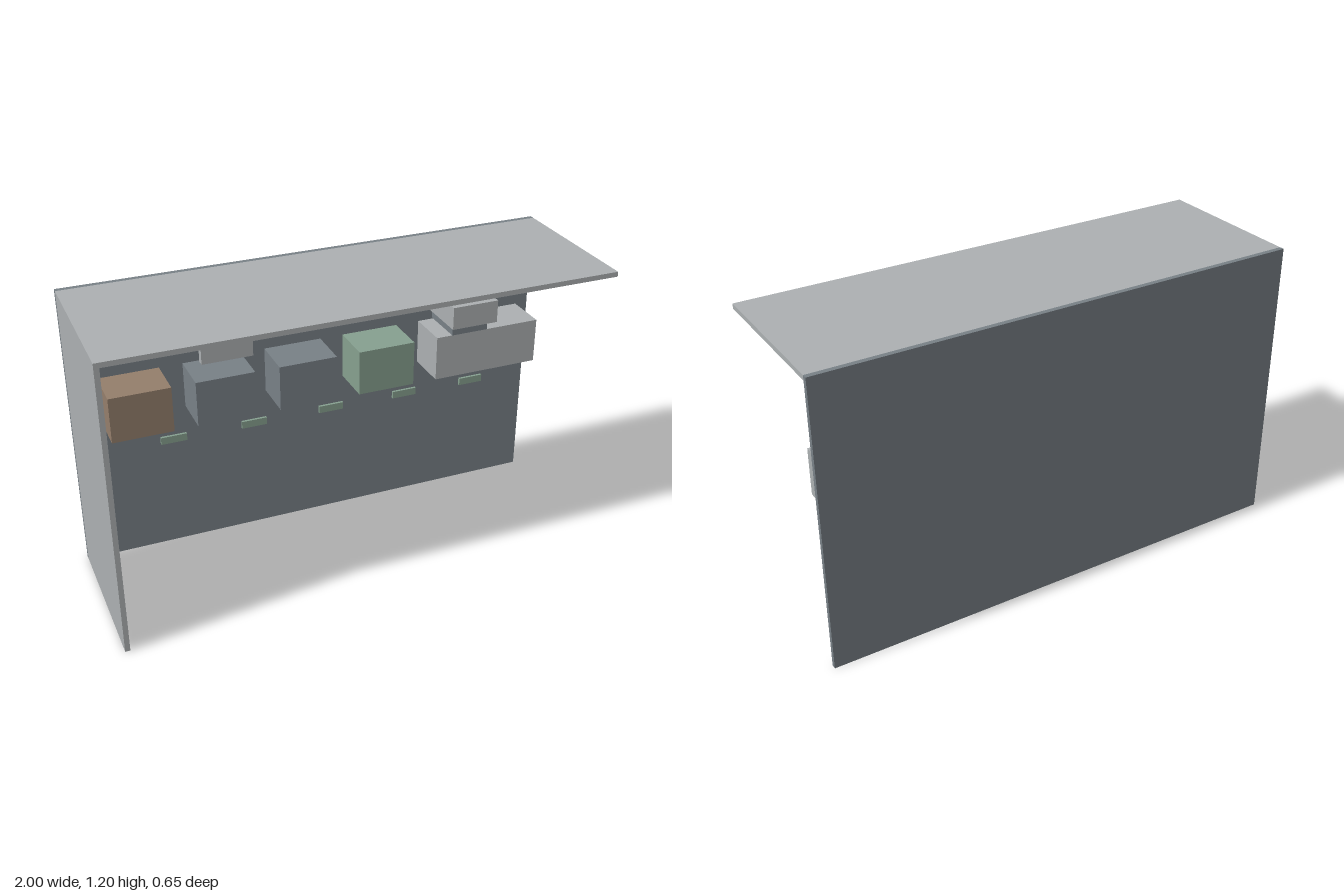
import * as THREE from 'three';

const mat = (name, color) => {
  const m = new THREE.MeshStandardMaterial({ color });
  m.name = name;
  return m;
};

export function createModel() {
  const light = mat('lightGrey', 0xacb0b2);
  const slate = mat('slateGrey', 0x788086);
  const green = mat('sageGreen', 0x86a08f);
  const brown = mat('warmBrown', 0x947e6b);

  const model = new THREE.Group();
  model.name = 'wallDisplay';

  // Box given by its extents on each axis
  const box = (name, material, [x0, x1], [y0, y1], [z0, z1]) => {
    const mesh = new THREE.Mesh(new THREE.BoxGeometry(x1 - x0, y1 - y0, z1 - z0), material);
    mesh.position.set((x0 + x1) / 2, (y0 + y1) / 2, (z0 + z1) / 2);
    mesh.name = name;
    model.add(mesh);
  };

  // Shell: back wall, one side wall and roof
  const wallFace = -0.305;
  box('backWall', slate, [-1, 1], [0, 1.2], [-0.325, wallFace]);
  box('sideWall', light, [-1, -0.98], [0, 1.18], [wallFace, 0.325]);
  box('roof', light, [-1, 1], [1.18, 1.2], [wallFace, 0.325]);

  // Row of wall-mounted units
  const units = [
    ['brownUnit', brown, -0.885, -0.64],
    ['slateUnitOuter', slate, -0.545, -0.305],
    ['slateUnitInner', slate, -0.205, 0.037],
    ['greenUnit', green, 0.135, 0.377],
    ['wideUnit', light, 0.48, 0.945],
  ];
  for (const [name, material, x0, x1] of units) {
    box(name, material, [x0, x1], [0.627, 0.817], [wallFace, -0.125]);
  }

  // Label plates below the units
  [-0.605, -0.263, 0.078, 0.417, 0.737].forEach((x, i) =>
    box(`labelPlate${i + 1}`, green, [x - 0.054, x + 0.054], [0.478, 0.509], [-0.3, -0.289]));

  // Hanging sign panel
  box('signPanel', light, [-0.525, -0.32], [0.905, 1.02], [-0.125, -0.095]);

  // Overhead unit with recessed base
  box('overheadUnit', light, [0.497, 0.695], [0.895, 0.99], [wallFace, -0.025]);
  box('overheadBase', slate, [0.518, 0.675], [0.848, 0.895], [-0.255, -0.067]);

  return model;
}
